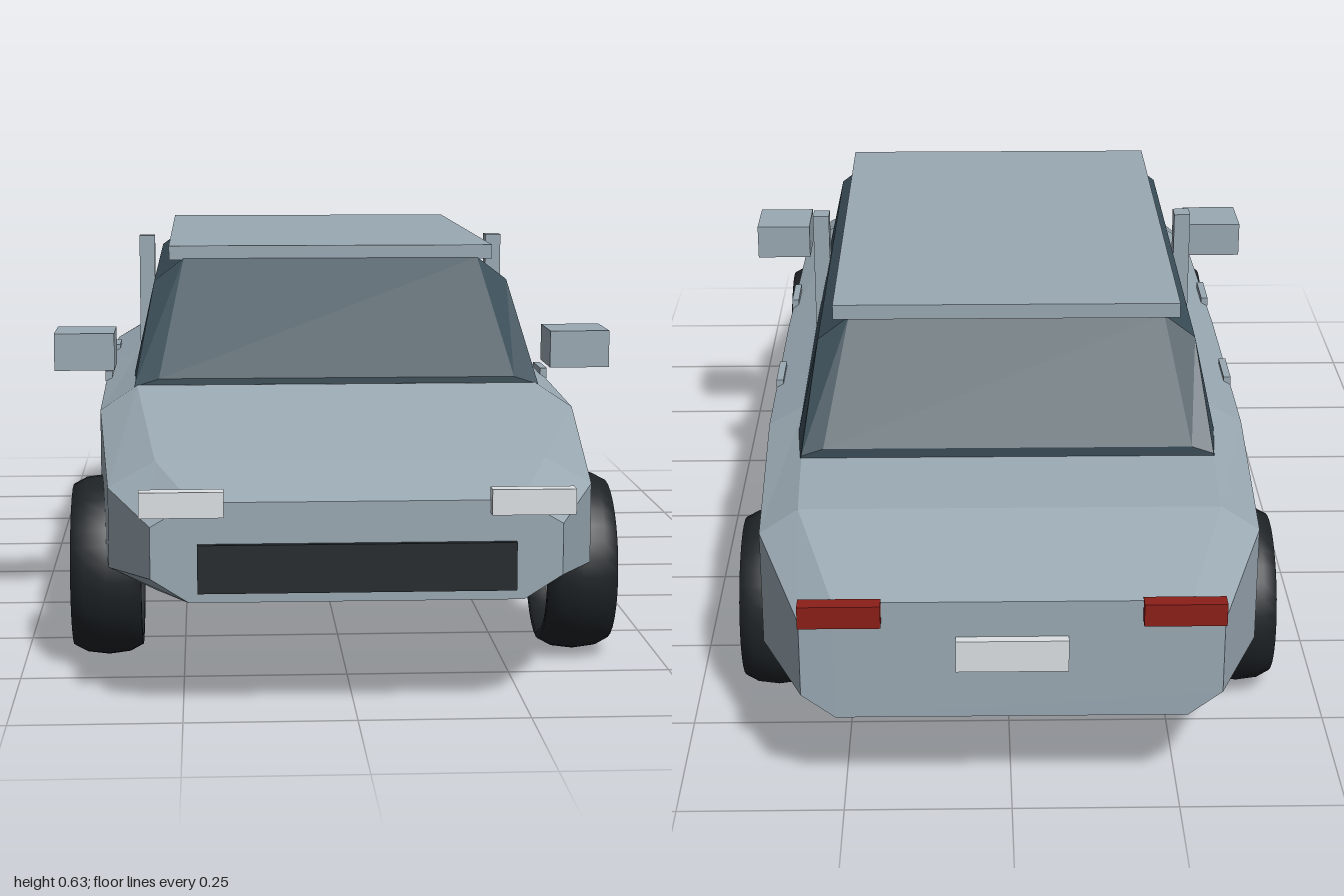
import * as THREE from 'three';

const mat = (color, flatShading = true) => new THREE.MeshStandardMaterial({ color, flatShading });
const PAINT = mat(0x9aa9b3), GLASS = mat(0x3a4d57), BLACK = mat(0x22282b);
const RUBBER = mat(0x1e2326, false), CHROME = mat(0xcccccc, false);
const LAMP = mat(0xdde1e4), RED = mat(0x8c1f18);

// Each section: z, then the right-hand outline from bottom to top as [x, y] pairs, mirrored to close it
function loft(sections) {
  const n = sections[0].outline.length * 2;
  const pos = [], index = [];
  for (const { z, outline } of sections) {
    const mirrored = outline.map(([x, y]) => [-x, y]).reverse();
    for (const [x, y] of [...outline, ...mirrored]) pos.push(x, y, z);
  }
  const last = (sections.length - 1) * n;
  for (let i = 0; i < last; i += n) {
    for (let j = 0; j < n; j++) {
      const k = (j + 1) % n;
      index.push(i + j, i + n + j, i + k, i + n + j, i + n + k, i + k);
    }
  }
  for (let j = 1; j < n - 1; j++) {
    index.push(0, j, j + 1, last, last + j + 1, last + j);
  }
  const geo = new THREE.BufferGeometry();
  geo.setAttribute('position', new THREE.Float32BufferAttribute(pos, 3));
  geo.setIndex(index);
  const flat = geo.toNonIndexed();
  flat.computeVertexNormals();
  return flat;
}

export function createModel() {
  const car = new THREE.Group();
  car.name = 'car';

  const add = (name, geo, material, x = 0, y = 0, z = 0, parent = car) => {
    const mesh = new THREE.Mesh(geo, material);
    mesh.name = name;
    mesh.position.set(x, y, z);
    parent.add(mesh);
    return mesh;
  };
  const box = (name, w, h, d, material, x, y, z) =>
    add(name, new THREE.BoxGeometry(w, h, d), material, x, y, z);

  // Lower body: z, half-widths (floor, side, deck), heights (floor, sill, shoulder, deck)
  const body = [
    [0.98, 0.24, 0.295, 0.235, 0.17, 0.205, 0.28, 0.315],
    [0.83, 0.29, 0.36, 0.29, 0.155, 0.19, 0.31, 0.35],
    [0.49, 0.31, 0.385, 0.325, 0.13, 0.175, 0.375, 0.415],
    [0, 0.315, 0.39, 0.33, 0.13, 0.175, 0.385, 0.42],
    [-0.45, 0.315, 0.39, 0.33, 0.13, 0.175, 0.385, 0.42],
    [-0.79, 0.31, 0.38, 0.32, 0.13, 0.17, 0.355, 0.395],
    [-0.98, 0.26, 0.31, 0.26, 0.147, 0.185, 0.305, 0.337],
  ].map(([z, floor, side, deck, y0, y1, y2, y3]) => ({
    z, outline: [[floor, y0], [side, y1], [side, y2], [deck, y3]],
  }));
  add('body', loft(body), PAINT);

  // Glasshouse with raked windscreen and rear window
  const cabin = [
    { z: 0.485, outline: [[0.33, 0.40], [0.33, 0.412], [0.29, 0.425]] },
    { z: 0.30, outline: [[0.335, 0.41], [0.30, 0.568], [0.25, 0.606]] },
    { z: -0.53, outline: [[0.335, 0.41], [0.30, 0.568], [0.25, 0.606]] },
    { z: -0.63, outline: [[0.33, 0.39], [0.325, 0.41], [0.29, 0.422]] },
  ];
  add('glasshouse', loft(cabin), GLASS);
  box('roof', 0.55, 0.024, 0.835, PAINT, 0, 0.615, -0.117);

  // Nose and tail fittings
  box('grille', 0.456, 0.07, 0.02, BLACK, 0, 0.22, 0.98);
  box('numberPlate', 0.165, 0.05, 0.02, LAMP, 0, 0.255, -0.985);

  // Tyre and hub shapes, built with the axle along z and then turned onto x
  const tyre = new THREE.TorusGeometry(0.121, 0.022, 10, 32);
  tyre.scale(1, 1, 2.6).rotateY(Math.PI / 2);
  const rim = new THREE.CylinderGeometry(0.103, 0.103, 0.03, 32).rotateZ(Math.PI / 2);
  const hub = new THREE.SphereGeometry(0.094, 20, 14).scale(0.5, 1, 1);

  for (const [side, s] of [['left', 1], ['right', -1]]) {
    box(`${side}Headlight`, 0.12, 0.037, 0.025, LAMP, s * 0.25, 0.315, 0.9875);
    box(`${side}TailLight`, 0.12, 0.035, 0.025, RED, s * 0.25, 0.323, -0.9875);
    box(`${side}Mirror`, 0.1, 0.062, 0.108, PAINT, s * 0.416, 0.456, 0.322);
    box(`${side}DoorPillar`, 0.028, 0.205, 0.034, PAINT, s * 0.32, 0.518, -0.055);
    for (const [end, z] of [['Front', 0.142], ['Rear', -0.248]]) {
      box(`${side}${end}DoorHandle`, 0.012, 0.018, 0.085, PAINT, s * 0.384, 0.39, z);
    }
    for (const [end, z] of [['Front', 0.59], ['Rear', -0.59]]) {
      const wheel = new THREE.Group();
      wheel.name = `${side}${end}Wheel`;
      wheel.position.set(s * 0.37, 0.143, z);
      add('tyre', tyre, RUBBER, 0, 0, 0, wheel);
      add('rim', rim, LAMP, 0, 0, 0, wheel);
      add('hub', hub, CHROME, 0, 0, 0, wheel);
      car.add(wheel);
    }
  }
  return car;
}
